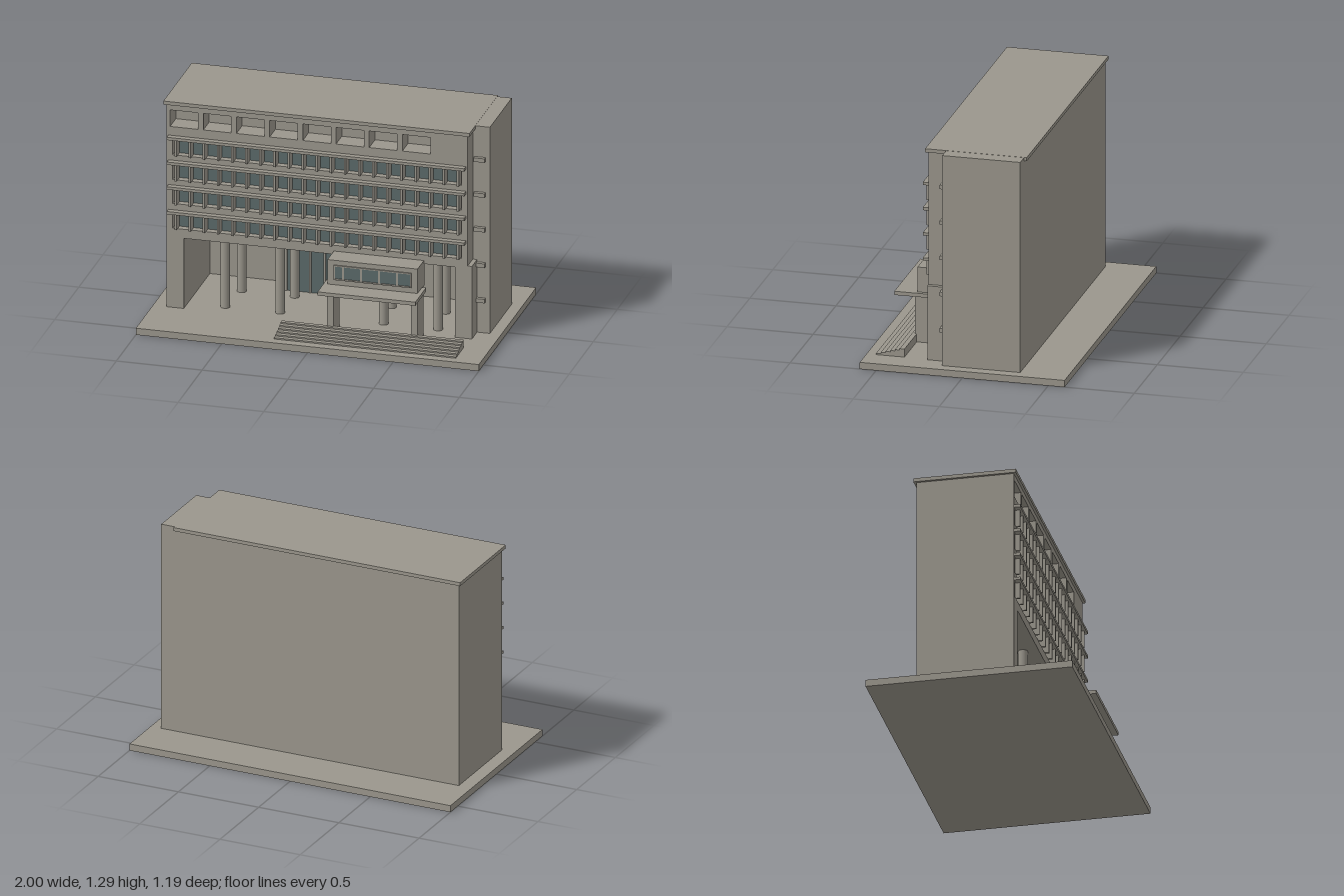
import * as THREE from 'three';

export function createModel() {
  const model = new THREE.Group();
  model.name = 'officeBuilding';
  const stone = new THREE.MeshStandardMaterial({ color: 0x9a968c });
  stone.name = 'stone';
  const glass = new THREE.MeshStandardMaterial({ color: 0x5b6a6a });
  glass.name = 'glass';

  const add = (name, geometry, material = stone) => {
    const mesh = new THREE.Mesh(geometry, material);
    mesh.name = name;
    model.add(mesh);
    return mesh;
  };
  // Box given by its low and high limits on each axis
  const box = (name, x0, x1, y0, y1, z0, z1, material) => {
    const g = new THREE.BoxGeometry(x1 - x0, y1 - y0, z1 - z0);
    g.translate((x0 + x1) / 2, (y0 + y1) / 2, (z0 + z1) / 2);
    return add(name, g, material);
  };
  const rect = (Type, x0, x1, y0, y1) => {
    const s = new Type();
    s.moveTo(x0, y0);
    s.lineTo(x1, y0);
    s.lineTo(x1, y1);
    s.lineTo(x0, y1);
    s.closePath();
    return s;
  };
  const extrude = (name, shape, z0, z1) => {
    const g = new THREE.ExtrudeGeometry(shape, { depth: z1 - z0, bevelEnabled: false });
    g.translate(0, 0, z0);
    return add(name, g);
  };

  const FLOOR = 0.04, FRONT = 0.24;
  box('basePlate', -1, 1, 0, FLOOR, -0.595, 0.595);

  // Body outline with the open ground floor between two end piers
  const outline = () => {
    const pts = [[-0.92, FLOOR], [-0.82, FLOOR], [-0.82, 0.465], [0.76, 0.465],
      [0.76, FLOOR], [0.835, FLOOR], [0.835, 1.27], [-0.92, 1.27]];
    return new THREE.Shape(pts.map(([x, y]) => new THREE.Vector2(x, y)));
  };
  const rows = [[0.52, 0.615], [0.67, 0.765], [0.815, 0.915], [0.965, 1.065]];
  const facade = outline();
  for (const [y0, y1] of rows) facade.holes.push(rect(THREE.Path, -0.885, 0.8, y0, y1));
  for (let i = 0; i < 8; i++) {
    const x = -0.9 + i * 0.1935;
    facade.holes.push(rect(THREE.Path, x, x + 0.163, 1.135, 1.235));
  }
  extrude('facade', facade, 0.12, FRONT);
  extrude('bodyCore', outline(), -0.3, 0.12);
  box('backWall', -0.92, 0.835, FLOOR, 1.27, -0.32, -0.3);
  box('roofSlab', -0.935, 0.85, 1.27, 1.291, -0.335, 0.255);

  // Stair tower, low wing wall and small tower ledges
  box('stairTower', 0.835, 0.935, FLOOR, 1.29, -0.32, 0.133);
  box('wingWall', 0.835, 0.86, FLOOR, 0.48, 0.133, FRONT);
  for (const y of [0.24, 0.455, 0.67, 0.88, 1.092])
    box('towerLedge', 0.845, 0.91, y - 0.012, y + 0.012, 0.133, 0.155);

  // Window bands with fins and a sun ledge over each
  for (const [y0, y1] of rows) {
    box('windowBand', -0.885, 0.8, y0, y1, 0.195, 0.2, glass);
    box('sunLedge', -0.91, 0.825, y1, y1 + 0.017, FRONT - 0.01, 0.275);
    for (let i = 0; i < 21; i++) {
      const x = -0.862 + i * 0.0823;
      box('windowFin', x - 0.006, x + 0.006, y0, y1, 0.2, 0.264);
    }
  }

  // Two rows of round columns under the body
  const column = (x, z) => {
    const g = new THREE.CylinderGeometry(0.027, 0.027, 0.425, 24);
    g.translate(x, FLOOR + 0.2125, z);
    add('column', g);
  };
  for (const x of [-0.603, -0.283, 0.32, 0.638]) column(x, 0.15);
  for (const x of [-0.577, -0.268, 0.298, 0.612]) column(x, -0.1);

  // Recessed glass lobby
  box('lobbyGlass', -0.37, 0.37, FLOOR, 0.395, -0.3, -0.18, glass);
  box('lobbyCap', -0.372, 0.372, 0.395, 0.403, -0.3, -0.175);
  for (const x of [-0.367, -0.34, -0.2, -0.115, -0.05, 0.03, 0.115, 0.2, 0.27, 0.367])
    box('lobbyMullion', x - 0.006, x + 0.006, FLOOR, 0.395, -0.18, -0.172);

  // Projecting room over the entrance
  box('entranceRoom', 0.055, 0.58, 0.33, 0.485, FRONT - 0.01, 0.372);
  const frame = rect(THREE.Shape, 0.093, 0.545, 0.368, 0.457);
  for (let i = 0; i < 5; i++) {
    const ends = [[0.1, 0.142], [0.152, 0.247], [0.257, 0.352], [0.362, 0.457], [0.467, 0.538]][i];
    frame.holes.push(rect(THREE.Path, ends[0], ends[1], 0.376, 0.45));
  }
  extrude('entranceWindowFrame', frame, 0.372, 0.38);
  box('entranceWindow', 0.097, 0.541, 0.372, 0.453, 0.371, 0.374, glass);

  // Entrance canopy on two piers
  box('canopy', 0.033, 0.603, 0.315, 0.337, 0.275, 0.5);
  for (const x of [0.055, 0.545]) box('canopyPier', x, x + 0.038, FLOOR, 0.32, 0.255, 0.385);

  // Broad front steps
  for (let i = 0; i < 6; i++)
    box('step', -0.21, 0.85, FLOOR, 0.048 + i * 0.008, 0.375, 0.54 - i * 0.0275);

  return model;
}
